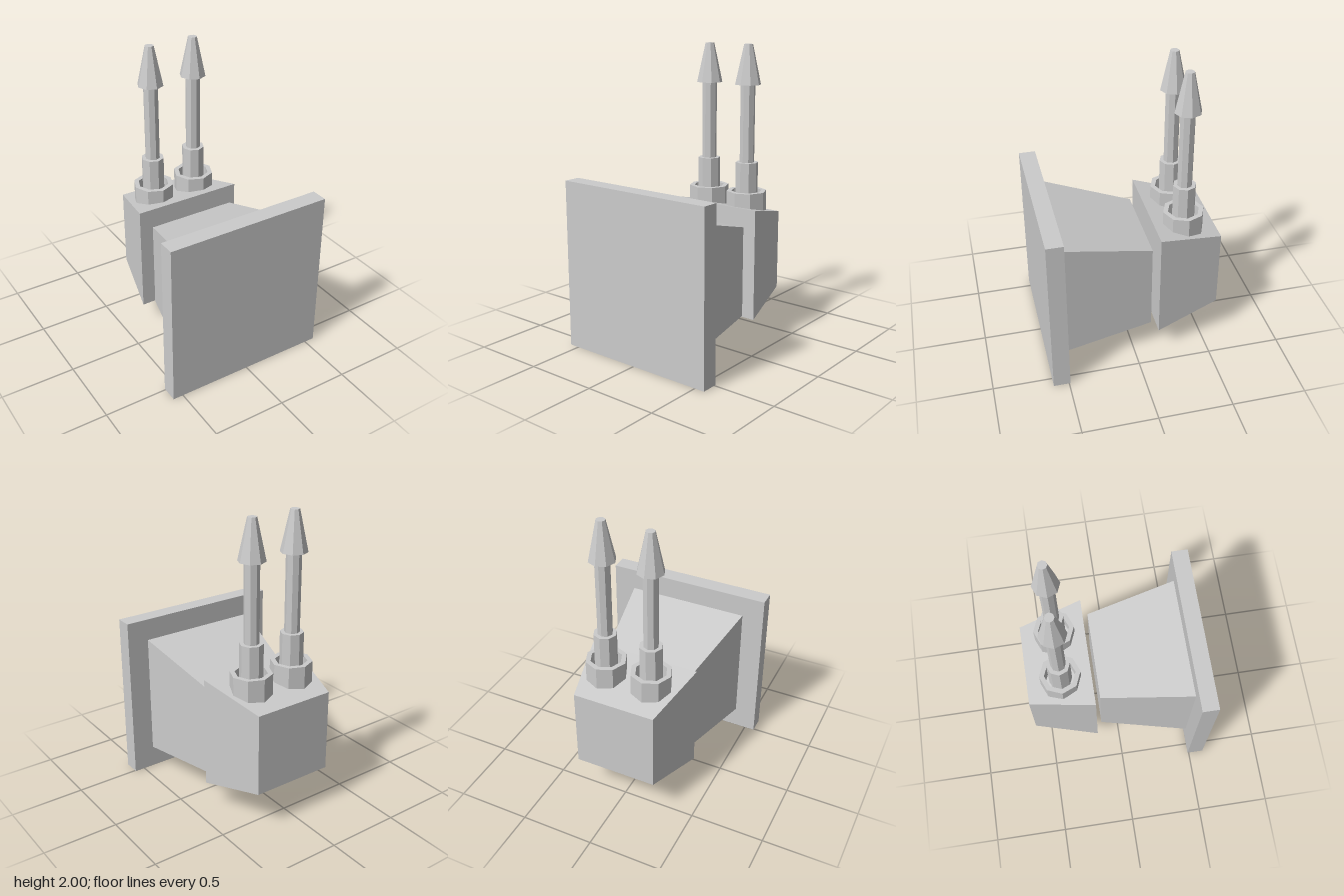
import * as THREE from 'three';

const material = new THREE.MeshStandardMaterial({ color: 0xcccccc, flatShading: true });

function add(parent, name, geometry, x = 0, y = 0, z = 0) {
  const mesh = new THREE.Mesh(geometry, material);
  mesh.name = name;
  mesh.position.set(x, y, z);
  parent.add(mesh);
  return mesh;
}

// Box whose front and back ends are different rectangles: [x0, x1, y0, y1, z]
function taperedBlock(front, back) {
  const geometry = new THREE.BoxGeometry(1, 1, 1);
  const p = geometry.attributes.position;
  for (let i = 0; i < p.count; i++) {
    const [x0, x1, y0, y1, z] = p.getZ(i) > 0 ? front : back;
    p.setXYZ(i, p.getX(i) < 0 ? x0 : x1, p.getY(i) < 0 ? y0 : y1, z);
  }
  geometry.computeVertexNormals();
  return geometry;
}

// Eight-sided frustum standing between two heights
function octagon(rTop, rBottom, y0, y1) {
  return new THREE.CylinderGeometry(rTop, rBottom, y1 - y0, 8).translate(0, (y0 + y1) / 2, 0);
}

// Eight-sided open ring with a flat rim
function octagonRing(rOuter, rInner, y0, y1) {
  const profile = [[rInner, y0], [rOuter, y0], [rOuter, y1], [rInner, y1], [rInner, y0]];
  return new THREE.LatheGeometry(profile.map(([r, y]) => new THREE.Vector2(r, y)), 8);
}

export function createModel() {
  const model = new THREE.Group();
  model.name = 'wallMountedFitting';

  // Square plate and the tapered neck behind it
  add(model, 'frontPlate', new THREE.BoxGeometry(1.14, 1.14, 0.113), 0, 0.57, 0.548);
  add(model, 'neck', taperedBlock(
    [-0.42, 0.42, 0.15, 0.99, 0.492],
    [-0.287, 0.332, 0.203, 0.823, -0.125]));

  // Separate rear block that carries the posts
  add(model, 'rearBlock', taperedBlock(
    [-0.362, 0.398, 0.178, 0.935, -0.163],
    [-0.262, 0.298, 0.277, 0.834, -0.604]));

  // Two barbed posts, each standing in an open collar
  for (const [side, x] of [['right', -0.138], ['left', 0.183]]) {
    const post = new THREE.Group();
    post.name = side + 'Post';
    post.position.set(x, 0, -0.37);
    add(post, 'collar', octagonRing(0.138, 0.105, 0.83, 1.01));
    add(post, 'sleeve', octagon(0.077, 0.077, 0.83, 1.208));
    add(post, 'shaft', octagon(0.05, 0.05, 1.2, 1.74));
    add(post, 'barbedTip', octagon(0.03, 0.088, 1.733, 2));
    model.add(post);
  }
  return model;
}
